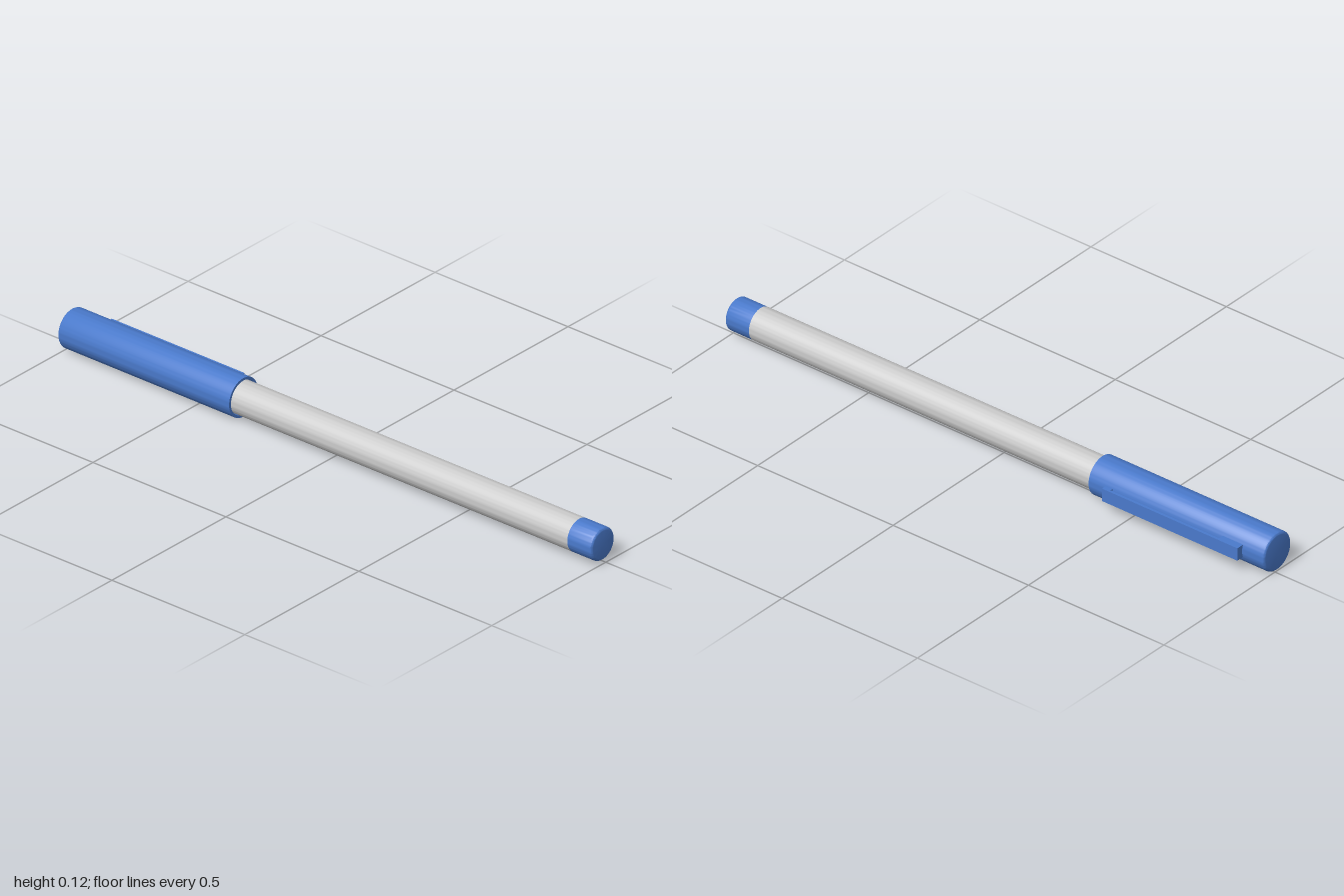
import * as THREE from 'three';
import { toCreasedNormals } from 'three/addons/utils/BufferGeometryUtils.js';

const AXIS_X = -0.012, AXIS_Y = 0.063; // centre line of the pen, along z
const BODY_R = 0.052, CAP_R = 0.0625, FILLET = 0.009;

// Turned part: profile of [radius, z] points, running from low z to high z on the outside
function turned(name, profile, material) {
  const points = profile.map(([r, z]) => new THREE.Vector2(r, z));
  const geometry = new THREE.LatheGeometry(points, 64);
  geometry.rotateX(Math.PI / 2);
  const mesh = new THREE.Mesh(toCreasedNormals(geometry, 0.6), material);
  mesh.name = name;
  mesh.position.set(AXIS_X, AXIS_Y, 0);
  return mesh;
}

// Quarter-round edge from the side of radius r to the end face at z = end (dir is +1 or -1)
function roundedEdge(r, end, dir, steps = 5) {
  const arc = [];
  for (let i = 0; i <= steps; i++) {
    const a = (i / steps) * Math.PI / 2;
    arc.push([r - FILLET + FILLET * Math.cos(a), end + dir * FILLET * (Math.sin(a) - 1)]);
  }
  return arc;
}

export function createModel() {
  const pen = new THREE.Group();
  pen.name = 'pen';
  const grey = new THREE.MeshStandardMaterial({ color: 0xcccccc });
  const blue = new THREE.MeshStandardMaterial({ color: 0x4a7acc });

  // Barrel, running into the bore of the cap
  pen.add(turned('barrel', [[0, -0.5], [BODY_R, -0.5], [BODY_R, 0.91], [0, 0.91]], grey));

  // Plug closing the rear end of the barrel
  pen.add(turned('endPlug', [
    [0, 0.91], [BODY_R, 0.91], ...roundedEdge(BODY_R, 1, 1), [0, 1],
  ], blue));

  // Hollow cap with a rounded closed end and an open rim
  pen.add(turned('cap', [
    [0, -1], ...roundedEdge(CAP_R, -1, -1).reverse(),
    [CAP_R, -0.353], [0.0545, -0.353], [0.0545, -0.48], [0, -0.48],
  ], blue));

  // Pocket clip: root block, thin arm and a small inward nub, drawn in (x, z)
  const outline = new THREE.Shape([
    [0.04, -0.92], [0.072, -0.92], [0.072, -0.42], [0.055, -0.42],
    [0.055, -0.445], [0.063, -0.445], [0.063, -0.845], [0.04, -0.845],
  ].map(([x, z]) => new THREE.Vector2(x, z)));
  const clipGeometry = new THREE.ExtrudeGeometry(outline, { depth: 0.042, bevelEnabled: false });
  clipGeometry.rotateX(Math.PI / 2);
  const clip = new THREE.Mesh(clipGeometry, blue);
  clip.name = 'pocketClip';
  clip.position.y = AXIS_Y + 0.021;
  pen.add(clip);

  return pen;
}
